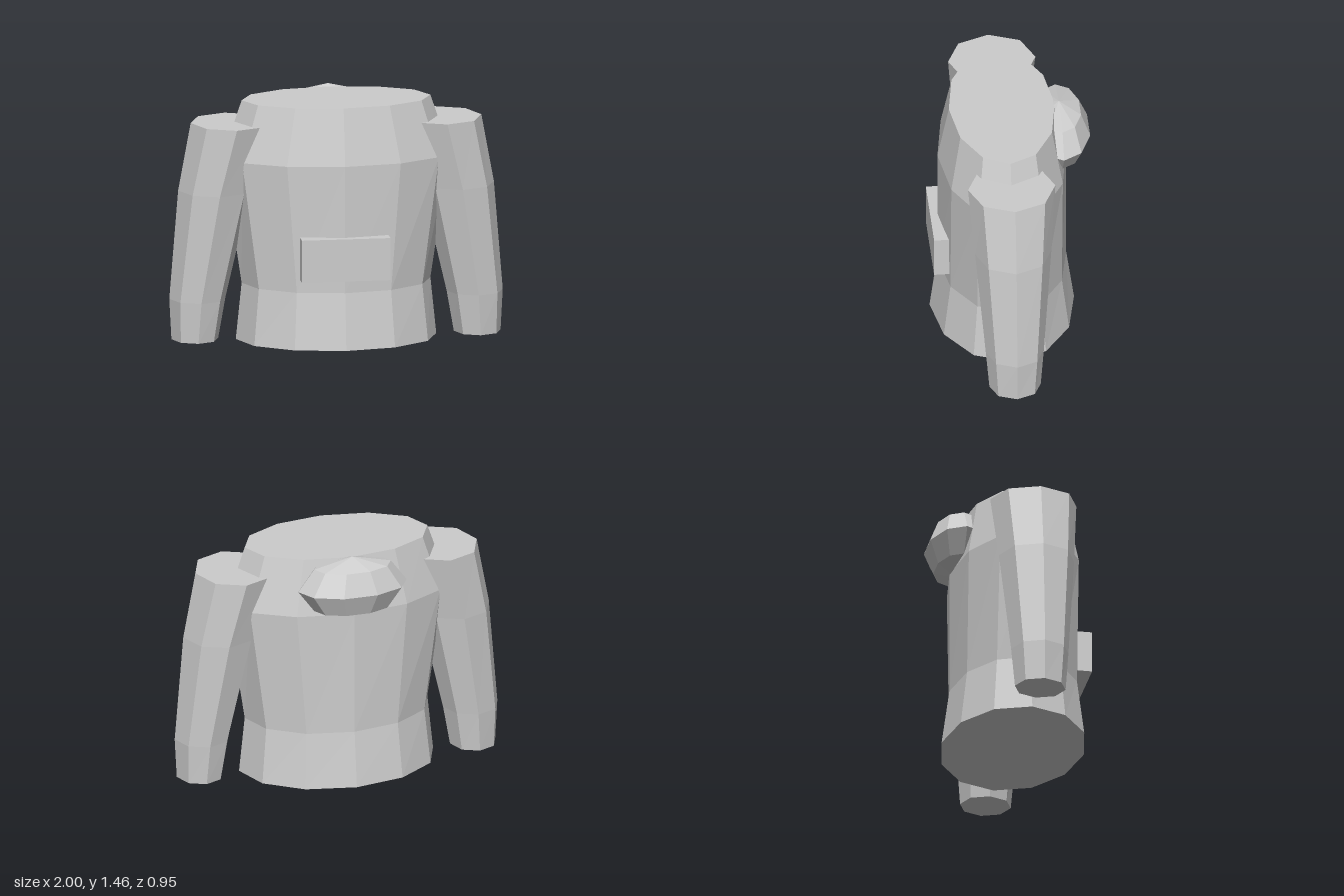
import * as THREE from 'three';

const SIDE_Z = 0.045; // depth of the body's mid plane

// Closed loft through horizontal elliptical rings [y, centreX, radiusX, radiusZ], bottom to top
function loft(rings, sides) {
  const pos = [];
  const point = ([y, cx, rx, rz], j) => {
    const a = (j / sides) * Math.PI * 2;
    return [cx + Math.sin(a) * rx, y, SIDE_Z + Math.cos(a) * rz];
  };
  const first = rings[0], last = rings[rings.length - 1];
  for (let j = 0; j < sides; j++) {
    for (let i = 0; i < rings.length - 1; i++) {
      const a = point(rings[i], j), b = point(rings[i], j + 1);
      const c = point(rings[i + 1], j + 1), d = point(rings[i + 1], j);
      pos.push(...a, ...b, ...c, ...a, ...c, ...d);
    }
    // End caps
    pos.push(first[1], first[0], SIDE_Z, ...point(first, j + 1), ...point(first, j));
    pos.push(last[1], last[0], SIDE_Z, ...point(last, j), ...point(last, j + 1));
  }
  const geo = new THREE.BufferGeometry();
  geo.setAttribute('position', new THREE.Float32BufferAttribute(pos, 3));
  geo.computeVertexNormals();
  return geo;
}

export function createModel() {
  const group = new THREE.Group();
  group.name = 'hoodedSweater';
  const fabric = new THREE.MeshStandardMaterial({ color: 0xcccccc });
  fabric.name = 'lightGreyFabric';
  fabric.flatShading = true;

  const add = (name, geo) => {
    const mesh = new THREE.Mesh(geo, fabric);
    mesh.name = name;
    group.add(mesh);
    return mesh;
  };

  // Torso: flared hem, waist, chest, sloped shoulders
  add('torso', loft([
    [0, 0, 0.6, 0.43],
    [0.34, 0, 0.565, 0.383],
    [1.105, 0, 0.68, 0.383],
    [1.445, 0, 0.565, 0.315],
  ], 12));

  // Sleeves: tapered octagons curving outward toward the cuffs
  for (const [name, s] of [['leftSleeve', 1], ['rightSleeve', -1]]) {
    add(name, loft([
      [0.01, s * 0.845, 0.14, 0.153],
      [0.255, s * 0.83, 0.168, 0.173],
      [0.91, s * 0.727, 0.218, 0.227],
      [1.317, s * 0.63, 0.24, 0.26],
    ], 8));
  }

  // Hood folded down behind the neck
  const hood = add('hood', new THREE.SphereGeometry(1, 10, 4));
  hood.scale.set(0.335, 0.19, 0.186);
  hood.position.set(0, 1.27, -0.295);

  // Front pouch pocket
  const pocket = add('frontPocket', new THREE.BoxGeometry(0.53, 0.255, 0.09));
  pocket.position.set(0, 0.548, 0.427);

  return group;
}
